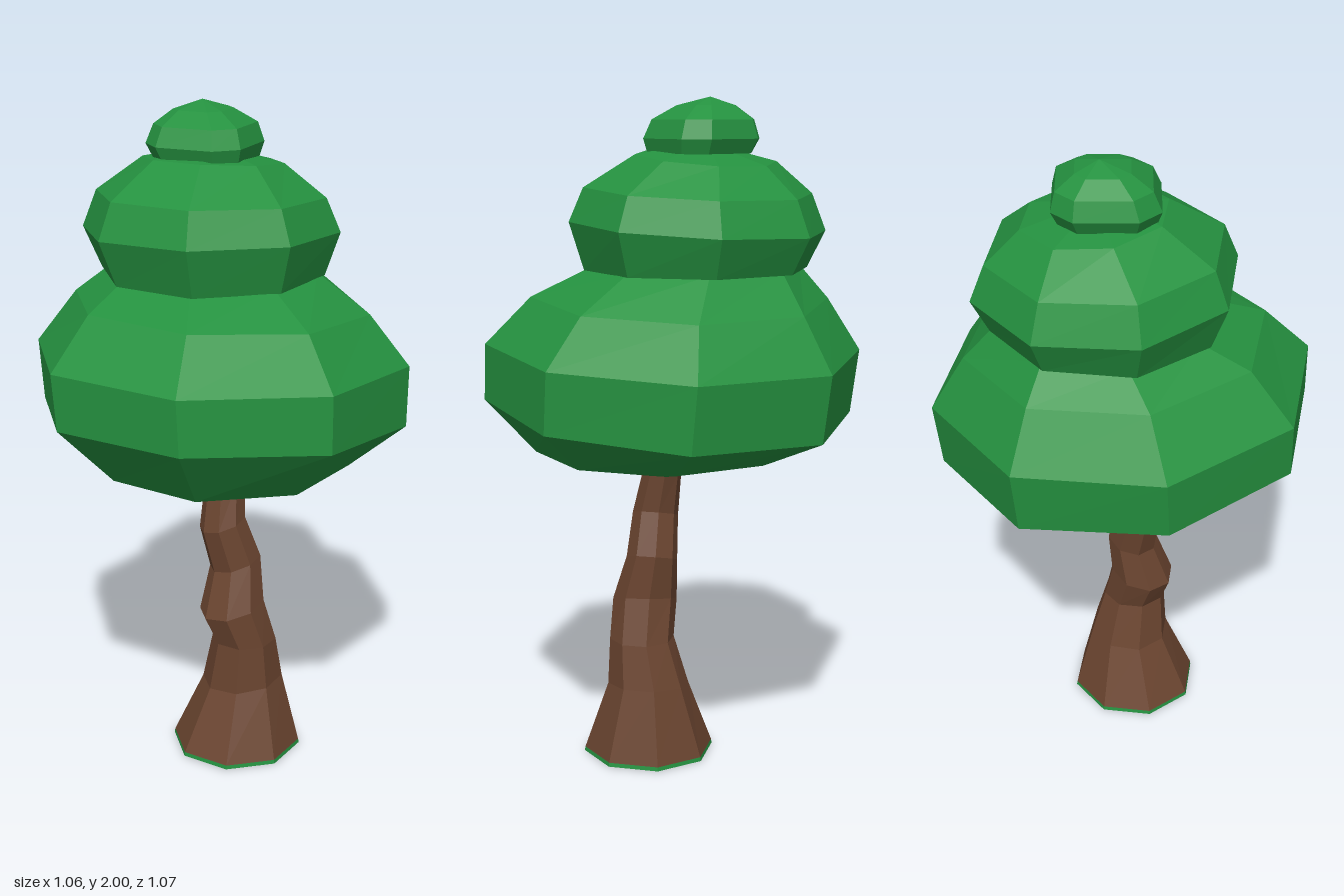
import * as THREE from 'three';

const SIDES = 8;
const leafGreen = new THREE.MeshStandardMaterial({ color: 0x259240 });
leafGreen.name = 'leafGreen';
const barkBrown = new THREE.MeshStandardMaterial({ color: 0x6b4530 });
barkBrown.name = 'barkBrown';

// Points of one octagonal ring: centre, radius and slope of its plane along x and z.
// pinch pulls neighbouring corners together in pairs.
function ringPoints([cx, y, cz, r, sx = 0, sz = 0], phase, pinch) {
  return Array.from({ length: SIDES }, (_, i) => {
    const a = THREE.MathUtils.degToRad(phase + i * 45 + (i % 2 ? -pinch : pinch));
    const dx = r * Math.cos(a), dz = r * Math.sin(a);
    return [cx + dx, y + sx * dx + sz * dz, cz + dz];
  });
}

// Faceted skin through rings listed from bottom to top; a ring of radius 0 is a tip.
function loft(name, rings, material, phase, pinch = 0) {
  const loops = rings.map((r) => ringPoints(r, phase, pinch));
  const pos = [];
  for (let k = 0; k < loops.length - 1; k++) {
    const lo = loops[k], hi = loops[k + 1];
    for (let i = 0; i < SIDES; i++) {
      const j = (i + 1) % SIDES;
      if (rings[k][3] > 0) pos.push(...lo[i], ...hi[i], ...lo[j]);
      if (rings[k + 1][3] > 0) pos.push(...lo[j], ...hi[i], ...hi[j]);
    }
  }
  const geometry = new THREE.BufferGeometry();
  geometry.setAttribute('position', new THREE.Float32BufferAttribute(pos, 3));
  geometry.computeVertexNormals();
  const mesh = new THREE.Mesh(geometry, material);
  mesh.name = name;
  return mesh;
}

export function createModel() {
  const tree = new THREE.Group();
  tree.name = 'tree';

  // Crooked trunk, flared at the foot: [x, y, z, radius, slope x, slope z]
  tree.add(loft('trunk', [
    [0.035, 0.012, 0.075, 0.199],
    [0.055, 0.22, 0.07, 0.125, 0.1],
    [0.055, 0.365, 0.09, 0.099],
    [0.015, 0.48, 0.09, 0.099, 0.25, -0.05],
    [0.032, 0.615, 0.063, 0.078, 0.3],
    [-0.008, 0.745, 0.062, 0.07, 0.3],
    [0.005, 0.88, 0.038, 0.06],
    [0.005, 0.97, 0.03, 0.055],
    [0.005, 0.97, 0.03, 0],
  ], barkBrown, 22.5));

  // Green foot under the trunk
  tree.add(loft('trunkFoot', [
    [0.035, 0, 0.075, 0],
    [0.035, 0, 0.075, 0.201],
    [0.035, 0.012, 0.075, 0.199],
  ], leafGreen, 22.5));

  // Large lower crown
  tree.add(loft('lowerCrown', [
    [0.01, 0.865, 0.03, 0],
    [0, 0.95, 0.04, 0.38],
    [0, 1.085, 0.015, 0.555, -0.05, 0.075],
    [-0.002, 1.265, 0, 0.565, -0.035, 0.045],
    [0.005, 1.415, -0.02, 0.445, -0.05, 0.035],
    [-0.005, 1.51, -0.065, 0.31],
    [-0.01, 1.54, -0.07, 0],
  ], leafGreen, 25));

  // Middle crown
  tree.add(loft('middleCrown', [
    [-0.01, 1.5, -0.065, 0],
    [-0.01, 1.5, -0.065, 0.335],
    [-0.015, 1.625, -0.07, 0.385, -0.01, 0.05],
    [-0.015, 1.73, -0.07, 0.342, -0.025, 0.045],
    [0, 1.825, -0.095, 0.21, -0.06, 0.08],
    [-0.01, 1.87, -0.09, 0],
  ], leafGreen, 22.5));

  // Small cap with corners gathered in pairs
  tree.add(loft('topCrown', [
    [-0.025, 1.838, -0.07, 0],
    [-0.025, 1.838, -0.07, 0.155],
    [-0.028, 1.88, -0.075, 0.173],
    [-0.025, 1.935, -0.08, 0.152],
    [-0.03, 1.975, -0.088, 0.088],
    [-0.03, 2, -0.1, 0],
  ], leafGreen, -30.5, 8));

  return tree;
}
